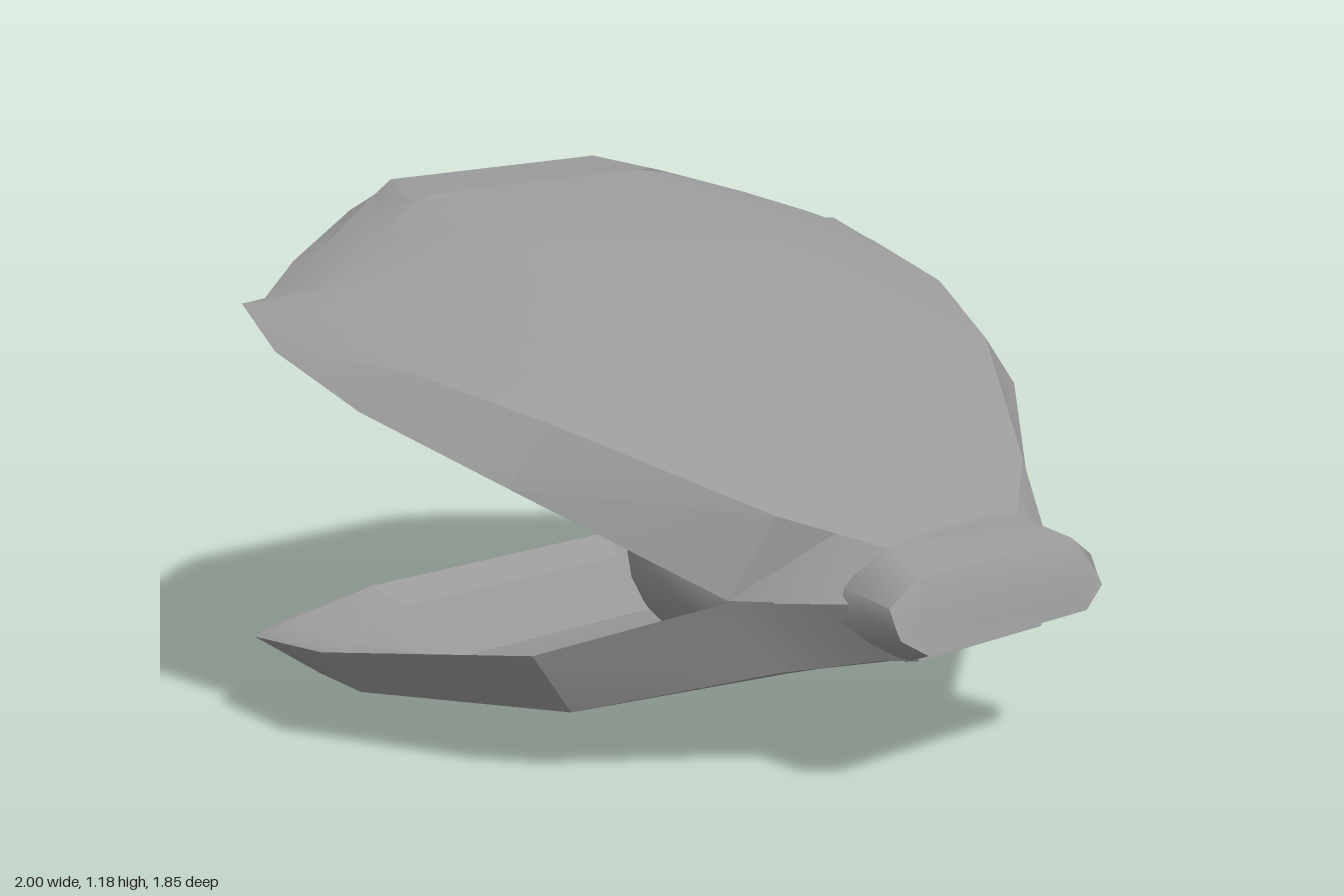
import * as THREE from 'three';
import { toCreasedNormals } from 'three/addons/utils/BufferGeometryUtils.js';

const material = new THREE.MeshStandardMaterial({ color: 0x999999, side: THREE.DoubleSide });

// Skin a stack of closed rings; the last ring can be capped with cross strips.
function skin(rings, { cap = true, flip = false, crease = 0.36 } = {}) {
  const n = rings[0].length;
  const index = [];
  const tri = (a, b, c) => index.push(...(flip ? [a, c, b] : [a, b, c]));
  const quad = (a, b, c, d) => { tri(a, b, c); tri(a, c, d); };
  for (let r = 0; r < rings.length - 1; r++) {
    for (let i = 0; i < n; i++) {
      const j = (i + 1) % n;
      quad(r * n + i, r * n + j, (r + 1) * n + j, (r + 1) * n + i);
    }
  }
  if (cap) {
    const o = (rings.length - 1) * n;
    for (let i = 0; i < n / 2 - 1; i++) quad(o + i, o + i + 1, o + n - 2 - i, o + n - 1 - i);
  }
  const geometry = new THREE.BufferGeometry();
  geometry.setAttribute('position', new THREE.Float32BufferAttribute(rings.flat(2), 3));
  geometry.setIndex(index);
  return toCreasedNormals(geometry, crease);
}

// Half outline (front to back) completed by its mirror image
const mirrored = (half) => [...half, ...half.map(([x, y, z]) => [-x, y, z]).reverse()];

const blend = (a, b, t, dy = 0) =>
  a.map((p, i) => p.map((v, k) => v + (b[i][k] - v) * t + (k === 1 ? dy : 0)));

function part(name, geometry) {
  const mesh = new THREE.Mesh(geometry, material);
  mesh.name = name;
  return mesh;
}

// One valve: outer skin rim > edge > shoulder > crown, inner skin rim > lip > wall foot > floor
function makeShell(name, up, thickness, [rim, edge, shoulder, crown]) {
  const inward = up ? -1 : 1;
  const foot = blend(edge, shoulder, 0.5, thickness * inward);
  const floor = blend(crown, crown, 0, thickness * inward);
  const lip = blend(rim, foot, 0.12, 0.008 * inward);
  const group = new THREE.Group();
  group.name = name;
  group.add(
    part(name + 'Outside', skin([rim, edge, shoulder, crown].map(mirrored), { flip: !up })),
    part(name + 'Inside', skin([rim, lip, foot, floor].map(mirrored), { flip: up, crease: 0.26 })),
  );
  return group;
}

export function createModel() {
  const model = new THREE.Group();
  model.name = 'openClam';

  // Lower shell
  model.add(makeShell('lowerShell', false, 0.038, [
    [[0.28, 0.42, 0.8], [0.35, 0.42, 0.73], [0.5, 0.415, 0.55], [0.81, 0.295, 0.26],
      [1, 0.228, -0.26], [0.975, 0.195, -0.56], [0.83, 0.17, -0.69], [0.41, 0.14, -0.89]],
    [[0.2, 0.285, 0.84], [0.24, 0.28, 0.77], [0.39, 0.245, 0.6], [0.71, 0.147, 0.27],
      [0.9, 0.115, -0.25], [0.87, 0.108, -0.45], [0.79, 0.11, -0.61], [0.38, 0.067, -0.85]],
    [[0.15, 0.28, 0.82], [0.17, 0.268, 0.77], [0.28, 0.225, 0.58], [0.5, 0.115, 0.19],
      [0.66, 0.07, -0.22], [0.68, 0.06, -0.42], [0.6, 0.048, -0.54], [0.33, 0.048, -0.75]],
    [[0.1, 0.28, 0.81], [0.13, 0.265, 0.77], [0.2, 0.205, 0.55], [0.35, 0.096, 0.14],
      [0.42, 0.042, -0.2], [0.42, 0.014, -0.4], [0.42, 0, -0.51], [0.27, 0.033, -0.68]],
  ]));

  // Upper shell
  model.add(makeShell('upperShell', true, 0.045, [
    [[0.28, 0.42, 0.8], [0.35, 0.42, 0.73], [0.5, 0.42, 0.55], [0.82, 0.66, 0.2], [0.97, 0.8, -0.13],
      [1, 0.9, -0.4], [0.96, 0.98, -0.585], [0.89, 0.983, -0.595], [0.72, 1.035, -0.72],
      [0.42, 1.107, -0.9], [0.33, 1.12, -0.925]],
    [[0.2, 0.52, 0.76], [0.3, 0.56, 0.68], [0.4, 0.6, 0.6], [0.71, 0.79, 0.2], [0.86, 0.88, -0.1],
      [0.93, 0.94, -0.4], [0.92, 0.983, -0.56], [0.87, 0.992, -0.575], [0.67, 1.062, -0.68],
      [0.39, 1.148, -0.84], [0.33, 1.18, -0.85]],
    [[0.15, 0.54, 0.75], [0.22, 0.59, 0.65], [0.3, 0.64, 0.56], [0.5, 0.845, 0.17], [0.68, 0.935, -0.1],
      [0.84, 0.98, -0.4], [0.79, 1.015, -0.46], [0.74, 1.035, -0.48], [0.6, 1.088, -0.56],
      [0.42, 1.147, -0.65], [0.36, 1.163, -0.65]],
    [[0.1, 0.55, 0.74], [0.13, 0.6, 0.64], [0.17, 0.648, 0.55], [0.27, 0.868, 0.15], [0.32, 0.99, -0.1],
      [0.34, 1.085, -0.32], [0.34, 1.107, -0.4], [0.34, 1.12, -0.45], [0.33, 1.143, -0.55],
      [0.31, 1.163, -0.63], [0.29, 1.167, -0.65]],
  ]));

  // Hinge bar: section points [x, y, z], flaring to a smaller face at each end
  const section = [[0.2, 0.535, 0.72], [0.25, 0.49, 0.88], [0.27, 0.385, 0.905],
    [0.26, 0.328, 0.922], [0.2, 0.275, 0.8], [0.2, 0.35, 0.7]];
  const middle = (side) => section.map(([x, y, z]) => [side * x, y, z]);
  const end = (side, sy, sz) =>
    section.map(([, y, z]) => [side * 0.33, 0.4 + (y - 0.4) * sy, 0.82 + (z - 0.82) * sz]);
  const bar = [end(-1, 0, 0), end(-1, 0.4, 0.85), middle(-1), middle(1), end(1, 0.4, 0.85), end(1, 0, 0)];
  model.add(part('hinge', skin(bar, { cap: false, crease: 1.2 })));

  // Pearl
  const pearl = part('pearl', new THREE.SphereGeometry(0.207, 16, 10));
  pearl.scale.x = 0.91;
  pearl.position.set(0, 0.318, -0.05);
  model.add(pearl);

  return model;
}
